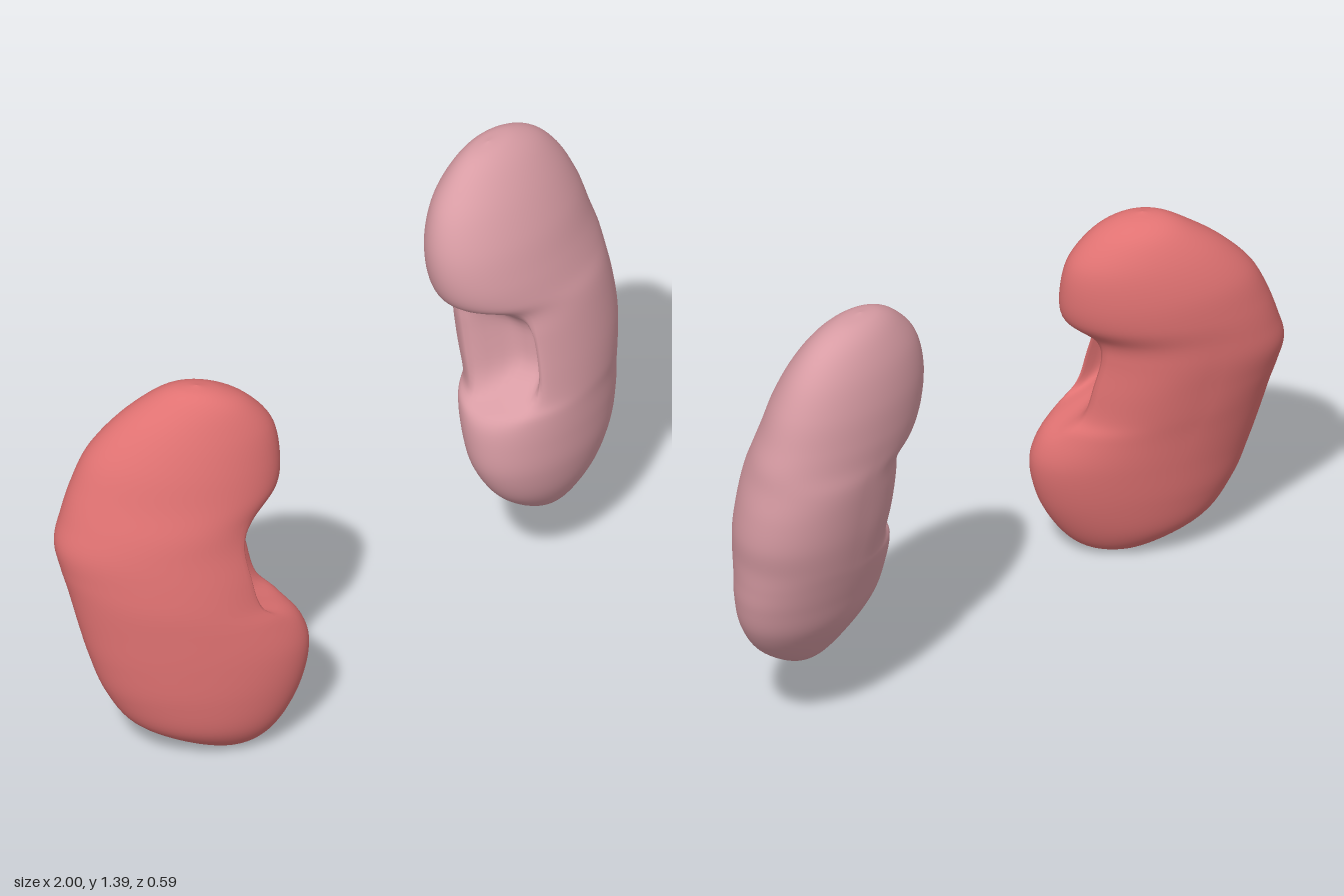
import * as THREE from 'three';

const SIDES = 72, ROWS = 96;

// Each row: outer x, outer y, inner x, inner y, centre z, half thickness (pole to pole)
const RED_ROWS = [
  [-0.60, 0.00, -0.60, 0.00, 0.115, 0],
  [-0.70, 0.02, -0.52, 0.02, 0.112, 0.07],
  [-0.845, 0.105, -0.455, 0.085, 0.107, 0.13],
  [-0.915, 0.22, -0.395, 0.20, 0.098, 0.16],
  [-0.95, 0.34, -0.37, 0.33, 0.086, 0.175],
  [-0.97, 0.45, -0.405, 0.44, 0.071, 0.183],
  [-0.985, 0.55, -0.445, 0.50, 0.057, 0.188],
  [-0.995, 0.62, -0.46, 0.60, 0.04, 0.19],
  [-1.00, 0.70, -0.47, 0.70, 0.02, 0.19],
  [-0.975, 0.78, -0.46, 0.77, 0.007, 0.187],
  [-0.94, 0.87, -0.40, 0.84, -0.01, 0.18],
  [-0.89, 0.97, -0.385, 0.93, -0.022, 0.166],
  [-0.81, 1.06, -0.40, 1.03, -0.027, 0.138],
  [-0.72, 1.13, -0.46, 1.11, -0.026, 0.10],
  [-0.66, 1.165, -0.53, 1.155, -0.022, 0.055],
  [-0.60, 1.175, -0.60, 1.175, -0.018, 0],
];
const PINK_ROWS = [
  [0.68, 0.20, 0.68, 0.20, 0.03, 0],
  [0.76, 0.22, 0.59, 0.225, 0.03, 0.06],
  [0.87, 0.30, 0.49, 0.30, 0.022, 0.113],
  [0.94, 0.40, 0.43, 0.40, 0.003, 0.155],
  [0.97, 0.50, 0.415, 0.50, -0.013, 0.175],
  [0.98, 0.58, 0.425, 0.585, -0.027, 0.187],
  [0.987, 0.65, 0.465, 0.63, -0.036, 0.193],
  [1.00, 0.74, 0.465, 0.74, -0.052, 0.20],
  [0.995, 0.84, 0.46, 0.85, -0.068, 0.202],
  [0.98, 0.93, 0.455, 0.92, -0.081, 0.20],
  [0.97, 1.00, 0.385, 0.97, -0.092, 0.193],
  [0.95, 1.07, 0.355, 1.05, -0.105, 0.185],
  [0.92, 1.17, 0.355, 1.15, -0.12, 0.168],
  [0.87, 1.27, 0.39, 1.25, -0.135, 0.135],
  [0.80, 1.345, 0.46, 1.33, -0.145, 0.092],
  [0.71, 1.385, 0.53, 1.375, -0.15, 0.048],
  [0.61, 1.393, 0.61, 1.393, -0.15, 0],
];

// Closed bean surface: oval sections between the outer and inner outline, with a hollow in the inner side.
// skew slants each section in z about the kidney's middle x.
function kidneyGeometry(rows, middleX, skew, hollowY, hollowDepth) {
  const curve = points => new THREE.CatmullRomCurve3(points, false, 'catmullrom');
  const outer = curve(rows.map(r => new THREE.Vector3(r[0], r[1], r[4])));
  const inner = curve(rows.map(r => new THREE.Vector3(r[2], r[3], r[5])));
  const side = Math.sign(middleX);
  const positions = [], index = [];
  for (let i = 0; i <= ROWS; i++) {
    const o = outer.getPoint(i / ROWS), n = inner.getPoint(i / ROWS);
    const cx = (o.x + n.x) / 2, cy = (o.y + n.y) / 2;
    const hx = (n.x - o.x) / 2, hy = (n.y - o.y) / 2;
    // Fuller back lip beside the hollow
    const fullness = 1 - 0.35 * Math.exp(-(((cy - hollowY) / 0.2) ** 2));
    for (let j = 0; j < SIDES; j++) {
      const a = (j / SIDES) * Math.PI * 2, s = Math.sin(a);
      let c = Math.cos(a);
      if (c > 0 && s < 0) c = c ** fullness;
      const y = cy + hy * c, x = cx + hx * c;
      // Hollow with a front and a back lip
      const pit = c > 0
        ? hollowDepth * Math.exp(-(((y - hollowY) / 0.14) ** 4) - (((s - 0.3) / 0.4) ** 4)) : 0;
      positions.push(x + side * pit, y, o.z + skew * (x - middleX) + Math.max(n.z, 0) * s);
    }
  }
  for (let i = 0; i < ROWS; i++) {
    for (let j = 0; j < SIDES; j++) {
      const k = (j + 1) % SIDES;
      const p = i * SIDES + j, q = i * SIDES + k, r = p + SIDES, t = q + SIDES;
      if (side < 0) index.push(p, r, q, q, r, t);
      else index.push(p, q, r, q, t, r);
    }
  }
  const geometry = new THREE.BufferGeometry();
  geometry.setAttribute('position', new THREE.Float32BufferAttribute(positions, 3));
  geometry.setIndex(index);
  geometry.computeVertexNormals();
  return geometry;
}

export function createModel() {
  const group = new THREE.Group();
  group.name = 'kidneys';

  const red = new THREE.MeshStandardMaterial({ color: 0xe07272 });
  red.name = 'coral red';
  const pink = new THREE.MeshStandardMaterial({ color: 0xd89ca4 });
  pink.name = 'dusty pink';

  const rightKidney = new THREE.Mesh(kidneyGeometry(RED_ROWS, -0.67, 0.39, 0.61, 0.15), red);
  rightKidney.name = 'rightKidney';
  const leftKidney = new THREE.Mesh(kidneyGeometry(PINK_ROWS, 0.67, -0.13, 0.77, 0.14), pink);
  leftKidney.name = 'leftKidney';

  group.add(rightKidney, leftKidney);
  return group;
}
